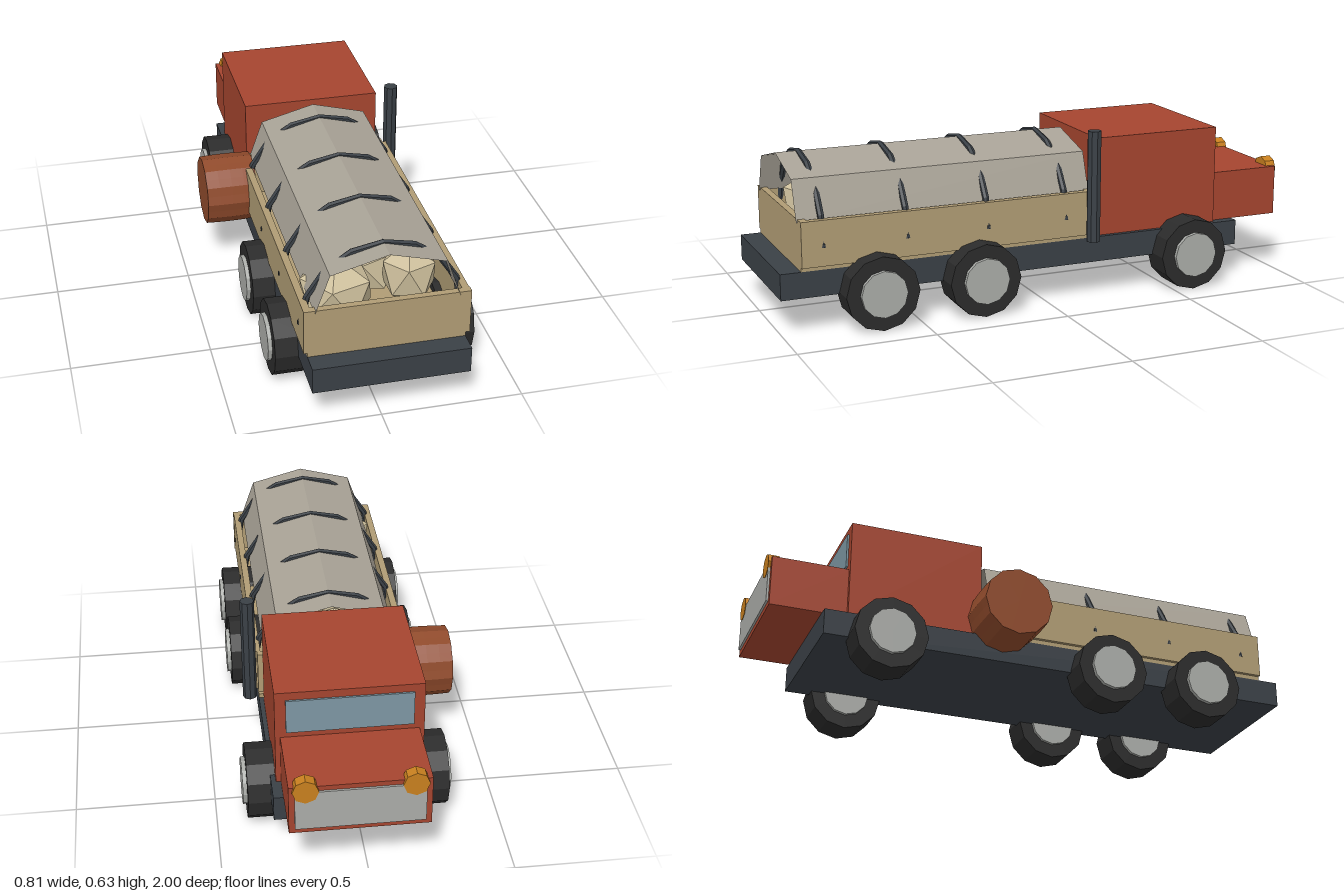
import * as THREE from 'three';

const CX = 0.035; // centre line of the truck body

const mat = (color, side = THREE.FrontSide) =>
  new THREE.MeshStandardMaterial({ color, flatShading: true, side });

export function createModel() {
  const model = new THREE.Group();
  const red = mat(0xa5452f), wood = mat(0xb09c74), steel = mat(0x3a4046), rubber = mat(0x2b2b2b);
  const hubGrey = mat(0xaaaca8), amber = mat(0xc8801f), glass = mat(0x7d97a3), stone = mat(0xcdbf9c);
  const canvas = mat(0xa8a296, THREE.DoubleSide), barrelWood = mat(0x8f4a2b);

  const add = (name, geometry, material, x = 0, y = 0, z = 0) => {
    const mesh = new THREE.Mesh(geometry, material);
    mesh.name = name;
    mesh.position.set(x, y, z);
    model.add(mesh);
    return mesh;
  };
  // Box given by its limits along each axis
  const box = (name, material, [x0, x1], [y0, y1], [z0, z1]) =>
    add(name, new THREE.BoxGeometry(x1 - x0, y1 - y0, z1 - z0), material,
      (x0 + x1) / 2, (y0 + y1) / 2, (z0 + z1) / 2);

  // Chassis and cab; the nose points towards -z
  box('chassis', steel, [-0.24, 0.31], [0.13, 0.225], [-0.8, 1]);
  box('cab', red, [-0.222, 0.293], [0.225, 0.595], [-0.71, -0.21]);
  box('hood', red, [-0.205, 0.275], [0.225, 0.413], [-0.99, -0.7]);
  box('grille', hubGrey, [-0.185, 0.255], [0.245, 0.395], [-0.998, -0.98]);
  box('windshield', glass, [-0.185, 0.255], [0.435, 0.565], [-0.717, -0.7]);

  // Wheels and headlights, mirrored
  const tyre = new THREE.CylinderGeometry(0.135, 0.135, 0.12, 12).rotateZ(Math.PI / 2);
  const hub = new THREE.CylinderGeometry(0.085, 0.085, 0.147, 12).rotateZ(Math.PI / 2);
  const lamp = new THREE.CylinderGeometry(0.045, 0.045, 0.04, 8).rotateX(Math.PI / 2);
  for (const side of [-1, 1]) {
    for (const z of [-0.575, 0.27, 0.655]) {
      add('tyre', tyre, rubber, CX + side * 0.296, 0.136, z);
      add('hub', hub, hubGrey, CX + side * 0.297, 0.137, z);
    }
    add('headlight', lamp, amber, CX + side * 0.184, 0.398, -0.98);
  }

  // Exhaust stack
  add('exhaustStack', new THREE.CylinderGeometry(0.026, 0.026, 0.415, 8), steel, 0.342, 0.428, -0.175);

  // Cargo bed
  box('bedFloor', wood, [-0.24, 0.31], [0.225, 0.242], [-0.2, 0.925]);
  box('tailgate', wood, [-0.252, 0.325], [0.24, 0.405], [0.9, 0.925]);
  box('headboard', wood, [-0.24, 0.31], [0.24, 0.405], [-0.185, -0.16]);
  const ribZ = [-0.075, 0.232, 0.538, 0.845];
  for (const side of [-1, 1]) {
    const x = CX + side * 0.275;
    box('bedSide', wood, [x - 0.0125, x + 0.0125], [0.24, 0.405], [-0.16, 0.925]);
    for (const z of ribZ)
      add('bolt', new THREE.BoxGeometry(0.006, 0.01, 0.01), steel, x + side * 0.0125, 0.315, z);
  }

  // Canvas cover: a thin open sheet swept along the bed
  const section = [[-0.25, 0.395], [-0.2, 0.537], [0, 0.59], [0.2, 0.537], [0.25, 0.395]];
  const points = [], index = [];
  section.forEach(([x, y], i) => {
    points.push(x, y, -0.18, x, y, 0.93);
    if (i) {
      const a = 2 * i - 2;
      index.push(a, a + 1, a + 3, a, a + 3, a + 2);
    }
  });
  const sheet = new THREE.BufferGeometry();
  sheet.setAttribute('position', new THREE.Float32BufferAttribute(points, 3));
  sheet.setIndex(index);
  sheet.computeVertexNormals();
  add('canvasCover', sheet, canvas, CX);

  // Hoops holding the cover
  const hoop = new THREE.TorusGeometry(0.28, 0.012, 6, 8, Math.PI);
  for (const z of ribZ) add('coverHoop', hoop, steel, CX, 0.307, z);

  // Rocks: squashed icosahedra with one corner pointing up
  const rockGeometry = new THREE.IcosahedronGeometry(1, 0)
    .rotateZ(Math.atan(2 / (1 + Math.sqrt(5))));
  const rocks = [
    [-0.1, 0.36, 0.74, 0.14, 0.127], [0.17, 0.365, 0.7, 0.105, 0.12], [0.04, 0.34, 0.55, 0.15, 0.12],
    [-0.08, 0.35, 0.35, 0.13, 0.12], [0.15, 0.35, 0.2, 0.12, 0.12], [0, 0.34, 0.02, 0.14, 0.12],
  ];
  rocks.forEach(([x, y, z, r, h], i) => {
    const rock = add('rock', rockGeometry, stone, x, y, z);
    rock.scale.set(r, h, r);
    rock.rotation.y = i * 1.3;
  });

  // Barrel slung on the side, with alternating proud staves
  const barrel = new THREE.CylinderGeometry(0.13, 0.13, 0.19, 24, 4);
  const p = barrel.attributes.position;
  for (let i = 0; i < p.count; i++) {
    const x = p.getX(i), y = p.getY(i), z = p.getZ(i);
    const slot = Math.round(Math.atan2(z, x) / (Math.PI / 12));
    const k = (slot & 1 ? 0.96 : 1) * (0.985 + 0.02 * (1 - (y / 0.095) ** 2));
    p.setXYZ(i, x * k, y, z * k);
  }
  barrel.rotateZ(Math.PI / 2);
  barrel.computeVertexNormals();
  add('barrel', barrel, barrelWood, -0.314, 0.296, -0.133);

  return model;
}
